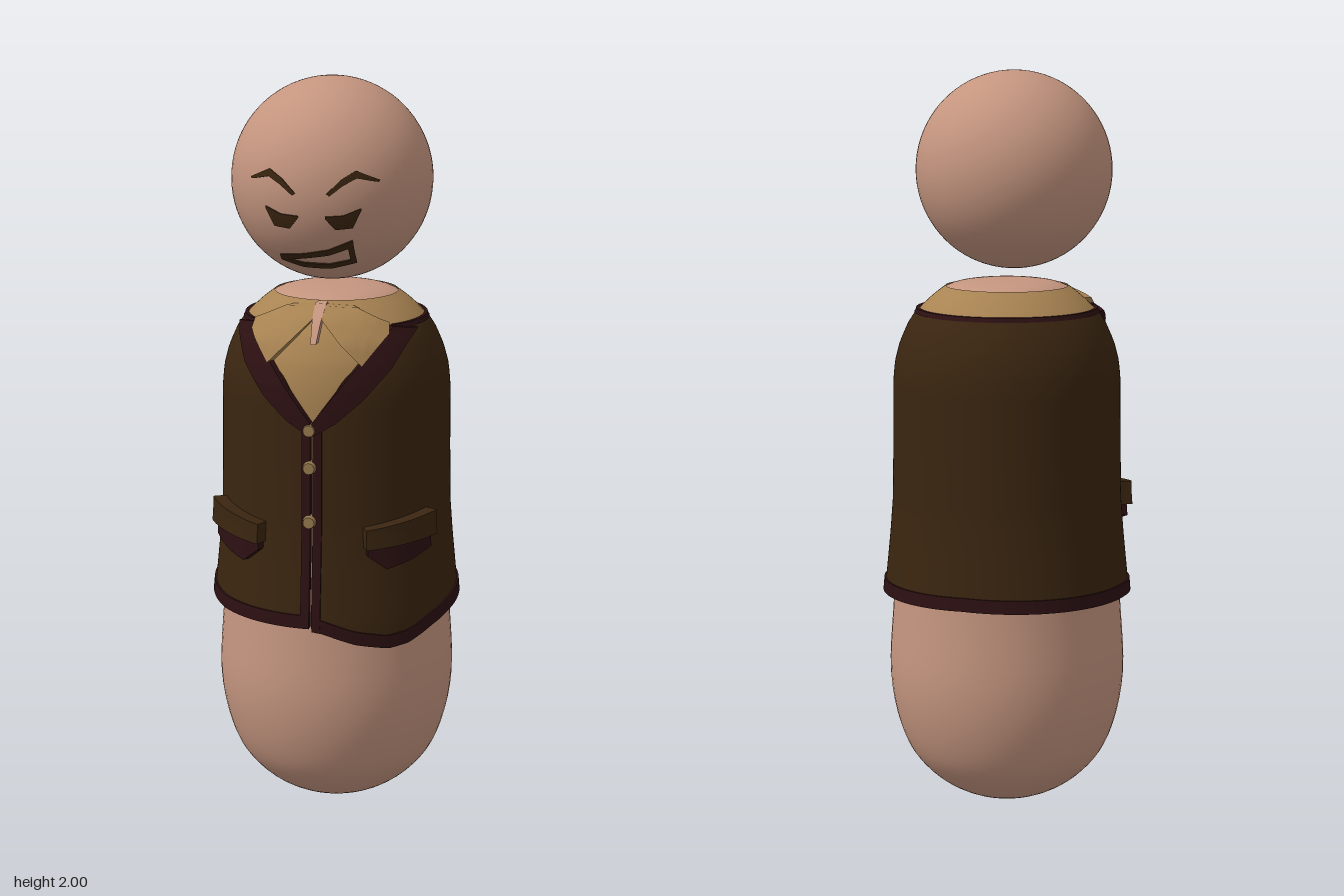
import * as THREE from 'three';
import { toCreasedNormals } from 'three/addons/utils/BufferGeometryUtils.js';

const mat = (name, color) => {
  const m = new THREE.MeshStandardMaterial({ color, side: THREE.DoubleSide });
  m.name = name;
  return m;
};

// Value at key t in a list of [key, value] pairs
function table(pairs) {
  return t => {
    if (t <= pairs[0][0]) return pairs[0][1];
    for (let i = 1; i < pairs.length; i++) {
      const [a, va] = pairs[i - 1], [b, vb] = pairs[i];
      if (t <= b) return va + (vb - va) * (t - a) / (b - a);
    }
    return pairs[pairs.length - 1][1];
  };
}

// Point at u = 0..1 along a polyline of [a, y] points
function along(pts, u) {
  const f = u * (pts.length - 1), i = Math.min(Math.floor(f), pts.length - 2), k = f - i;
  return [0, 1].map(c => pts[i][c] + (pts[i + 1][c] - pts[i][c]) * k);
}

// Curved pad with closed rims: place(u, v, offset) gives [x, y, z]
function padGeometry(place, inner, outer, nu, nv, side = 1) {
  const pos = [], index = [], rows = nv + 3;
  for (let i = -1; i <= nu + 1; i++) {
    for (let j = -1; j <= nv + 1; j++) {
      const u = Math.min(Math.max(i / nu, 0), 1), v = Math.min(Math.max(j / nv, 0), 1);
      const rim = i < 0 || j < 0 || i > nu || j > nv;
      const p = place(side > 0 ? u : 1 - u, v, rim ? inner : outer);
      pos.push(p[0] * side, p[1], p[2]);
    }
  }
  for (let i = 0; i < nu + 2; i++) {
    for (let j = 0; j < nv + 2; j++) {
      const a = i * rows + j, b = a + rows;
      index.push(a, b, b + 1, a, b + 1, a + 1);
    }
  }
  const g = new THREE.BufferGeometry();
  g.setAttribute('position', new THREE.Float32BufferAttribute(pos, 3));
  g.setIndex(index);
  return toCreasedNormals(g, 0.7);
}

// Surfaces that pads are laid on
const byAngle = R => (t, y, off) => [(R(y) + off) * Math.sin(t), y, (R(y) + off) * Math.cos(t)];
const byX = R => (x, y, off) => byAngle(R)(Math.asin(Math.min(x / R(y), 1)), y, off);
const HEAD = new THREE.Vector3(0, 1.737, 0.055), HEAD_R = 0.264;
const onHead = (x, y, off) => {
  const dy = y - HEAD.y, k = (HEAD_R + off) / HEAD_R;
  const dz = Math.sqrt(Math.max(HEAD_R ** 2 - x * x - dy * dy, 0));
  return [x * k, HEAD.y + dy * k, HEAD.z + dz * k];
};

export function createModel() {
  const model = new THREE.Group();
  const skin = mat('skin', 0xc4957f), brown = mat('jacket brown', 0x3a2510);
  const trim = mat('dark trim', 0x2c1012), tan = mat('shirt tan', 0xa88352);
  const brass = mat('button brass', 0x94774c);

  const add = (name, geometry, material) => {
    const m = new THREE.Mesh(geometry, material);
    m.name = name;
    model.add(m);
    return m;
  };
  // Pad between an upper and a lower polyline on a surface
  const ribbon = (name, material, surface, top, bottom, inner, outer, side = 1) => {
    const place = (u, v, off) => {
      const a = along(bottom, u), b = along(top, u);
      return surface(a[0] + (b[0] - a[0]) * v, a[1] + (b[1] - a[1]) * v, off);
    };
    return add(name, padGeometry(place, inner, outer, 24, 6, side), material);
  };
  const lathe = (name, pts, material) => {
    const curve = new THREE.SplineCurve(pts.map(p => new THREE.Vector2(...p)));
    const profile = curve.getPoints(60).map(p => p.setX(Math.max(p.x, 0)));
    return add(name, new THREE.LatheGeometry(profile, 64), material);
  };

  // Head and body
  add('head', new THREE.SphereGeometry(HEAD_R, 64, 40), skin).position.copy(HEAD);
  lathe('body', [[0, 0], [0.12, 0.025], [0.22, 0.09], [0.287, 0.19], [0.322, 0.36], [0.31, 0.6],
    [0.298, 0.9], [0.294, 1.15], [0.28, 1.27], [0.228, 1.37], [0.162, 1.43], [0.08, 1.448], [0, 1.45]], skin);

  // Shirt
  lathe('shirt', [[0.3, 1.0], [0.301, 1.18], [0.289, 1.27], [0.264, 1.33], [0.236, 1.37],
    [0.2, 1.405], [0.165, 1.432]], tan);

  // Jacket
  const R = table([[0.5, 0.338], [0.6, 0.335], [0.68, 0.327], [0.76, 0.319], [0.85, 0.312], [1.0, 0.309],
    [1.18, 0.307], [1.23, 0.302], [1.28, 0.289], [1.33, 0.267], [1.37, 0.241]]);
  const PI = Math.PI, gap = 0.012;
  const hem = table([[0, 0.58], [0.1, 0.575], [0.35, 0.545], [0.62, 0.527], [0.8, 0.533], [1.05, 0.562], [1.3, 0.58],
    [1.6, 0.592], [PI, 0.612], [4.7, 0.602], [5.4, 0.587], [2 * PI, 0.587]]);
  const neck = t => table([[0, 1.13], [0.27, 1.25], [0.55, 1.32], [0.85, 1.37]])(Math.min(t, 2 * PI - t));
  const jacketAt = byAngle(R);
  const band = (lo, hi, t0, t1) => (u, v, off) => {
    const t = t0 + (t1 - t0) * u;
    return jacketAt(t, lo(t) + (hi(t) - lo(t)) * v, off);
  };
  add('jacket', padGeometry(band(hem, neck, gap, 2 * PI - gap), -0.012, 0, 160, 40), brown);
  add('hemTrim', padGeometry(band(hem, t => hem(t) + 0.035, gap, 2 * PI - gap), -0.018, 0.005, 160, 2), trim);
  add('neckTrim', padGeometry(band(() => 1.362, () => 1.374, 0.85, 2 * PI - 0.85), -0.006, 0.003, 96, 2), trim);

  const jacketX = byX(R);
  const collarX = byX(table([[1.27, 0.302], [1.34, 0.28], [1.395, 0.237], [1.43, 0.185]]));
  for (const s of [1, -1]) {
    const side = s > 0 ? 'left' : 'right';
    // Front edges and lapels
    ribbon(side + 'FrontTrim', trim, jacketX, [[0.003, 1.13], [0.026, 1.13]],
      [[0.003, 0.59], [0.026, 0.59]], -0.01, 0.008, s);
    ribbon(side + 'Lapel', trim, jacketX, [[0.002, 1.14], [0.08, 1.245], [0.175, 1.372]],
      [[0.004, 1.105], [0.06, 1.14], [0.125, 1.2], [0.185, 1.275], [0.226, 1.36]], -0.012, 0.016, s);
    // Shirt collar
    ribbon(side + 'Collar', tan, collarX, [[0.01, 1.425], [0.09, 1.42], [0.17, 1.385]],
      [[0.012, 1.395], [0.12, 1.285], [0.175, 1.36]], -0.02, 0.012, s);
    // Pockets
    ribbon(side + 'Pocket', trim, jacketAt, [[0.45, 0.83], [1.04, 0.83]],
      [[0.45, 0.785], [0.6, 0.747], [0.82, 0.762], [1.04, 0.785]], -0.01, 0.022, s);
    ribbon(side + 'PocketFlap', brown, jacketAt, [[0.43, 0.858], [1.07, 0.884]],
      [[0.43, 0.805], [1.07, 0.818]], -0.01, 0.036, s);
    // Eyebrows and eyes
    ribbon(side + 'Eyebrow', brown, onHead, [[0.04, 1.73], [0.075, 1.765], [0.11, 1.787], [0.165, 1.762]],
      [[0.047, 1.724], [0.08, 1.75], [0.112, 1.768], [0.162, 1.757]], -0.003, 0.003, s);
    ribbon(side + 'Eye', brown, onHead, [[0.035, 1.672], [0.08, 1.675], [0.122, 1.692]],
      [[0.035, 1.667], [0.058, 1.638], [0.1, 1.642], [0.122, 1.687]], -0.003, 0.003, s);
  }

  // Open throat
  ribbon('throat', skin, collarX, [[-0.014, 1.43], [0.014, 1.43]], [[-0.007, 1.34], [0.007, 1.34]], -0.02, 0.014);

  // Lopsided grin
  ribbon('upperLip', brown, onHead, [[-0.1, 1.56], [-0.03, 1.569], [0.035, 1.582], [0.096, 1.608]],
    [[-0.1, 1.545], [-0.03, 1.556], [0.035, 1.567], [0.096, 1.59]], -0.003, 0.003);
  ribbon('lowerLip', brown, onHead, [[-0.1, 1.555], [-0.04, 1.542], [0.03, 1.54], [0.096, 1.555]],
    [[-0.1, 1.545], [-0.04, 1.528], [0.03, 1.526], [0.096, 1.543]], -0.003, 0.003);
  ribbon('mouthCorner', brown, onHead, [[0.083, 1.6], [0.097, 1.605]], [[0.083, 1.545], [0.097, 1.545]], -0.003, 0.003);

  // Buttons
  for (const y of [1.12, 1.02, 0.875]) {
    const button = add('button', new THREE.CylinderGeometry(0.015, 0.02, 0.022, 16), brass);
    button.rotation.x = PI / 2;
    button.position.set(-0.005, y, R(y) + 0.01);
  }
  return model;
}
